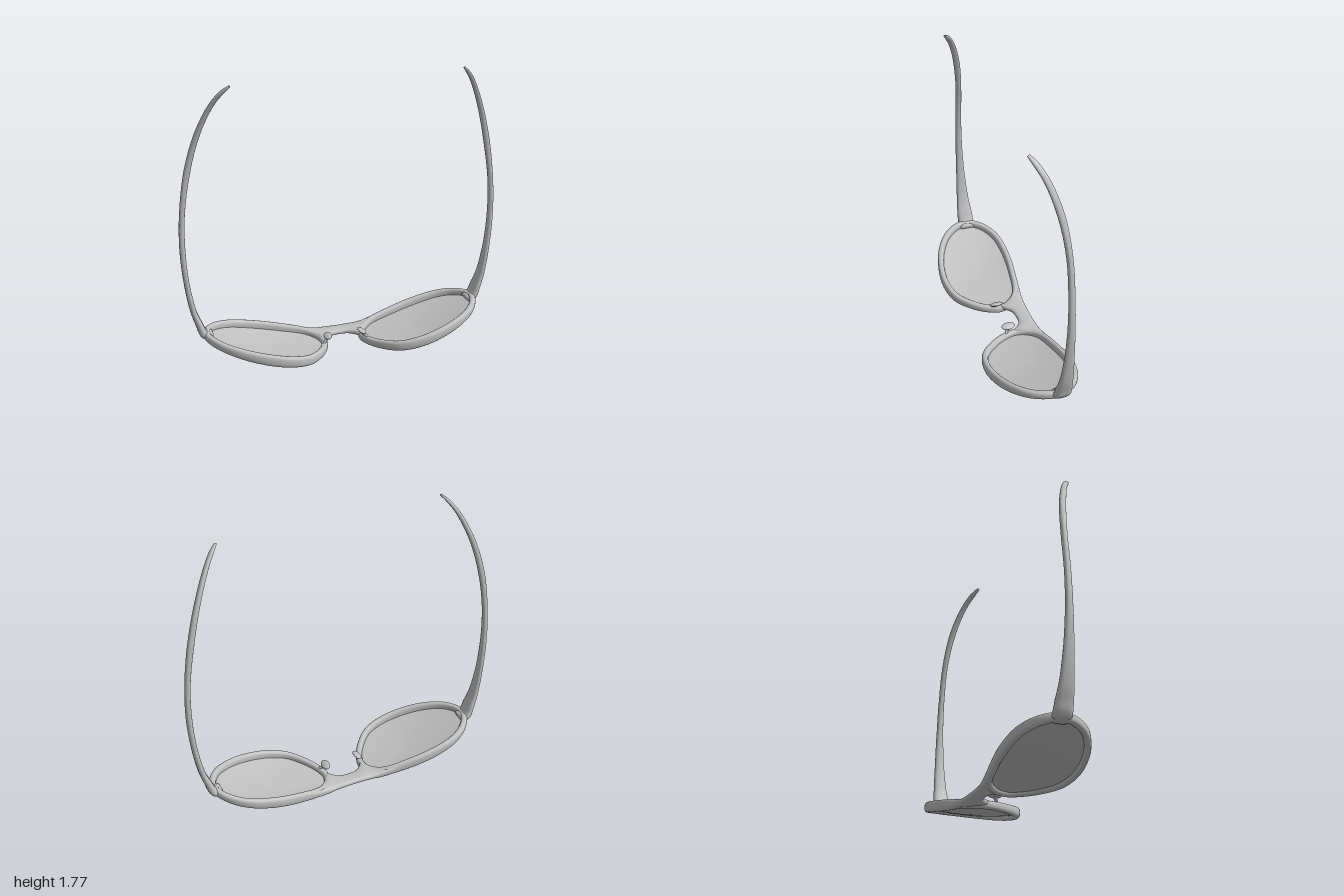
import * as THREE from 'three';

const grey = new THREE.MeshStandardMaterial({ color: 0xc0c0c0 });
grey.name = 'grey';
const greyThin = grey.clone();
greyThin.side = THREE.DoubleSide;
greyThin.name = 'grey lens';

const V = (x, y, z) => new THREE.Vector3(x, y, z);

// Rounded-box cross-section around c, spanned by half-axes u and v
function ring(c, u, v, n = 20, p = 0.75) {
  const soft = (k) => Math.sign(k) * Math.pow(Math.abs(k), p);
  return Array.from({ length: n }, (_, j) => {
    const a = (j / n) * Math.PI * 2;
    return c.clone().addScaledVector(u, soft(Math.cos(a))).addScaledVector(v, soft(Math.sin(a)));
  });
}

// Skin a list of rings, either as a closed loop or with capped ends
function loft(rings, closed = false, caps = !closed) {
  const n = rings[0].length, m = rings.length;
  const points = rings.flat(), index = [];
  for (let i = 0; i < (closed ? m : m - 1); i++) {
    for (let j = 0; j < n; j++) {
      const a = i * n + j, b = i * n + (j + 1) % n;
      const c = ((i + 1) % m) * n + j, d = ((i + 1) % m) * n + (j + 1) % n;
      index.push(a, b, c, b, d, c);
    }
  }
  if (caps) {
    for (const i of [0, m - 1]) {
      const mid = V(0, 0, 0);
      rings[i].forEach((q) => mid.addScaledVector(q, 1 / n));
      const k = points.push(mid) - 1;
      for (let j = 0; j < n; j++) {
        const a = i * n + j, b = i * n + (j + 1) % n;
        index.push(...(i ? [a, b, k] : [b, a, k]));
      }
    }
  }
  const g = new THREE.BufferGeometry().setFromPoints(points);
  g.setIndex(index);
  g.computeVertexNormals();
  return g;
}

function mirrored(geo) {
  const g = geo.clone().scale(-1, 1, 1);
  const ix = g.index.array;
  for (let i = 0; i < ix.length; i += 3) [ix[i + 1], ix[i + 2]] = [ix[i + 2], ix[i + 1]];
  g.computeVertexNormals();
  return g;
}

// Height of the swept-back front at a given x
const along = (x) => THREE.MathUtils.clamp((x - 0.13) / 0.74, 0, 1);
const rimY = (x) => 0.03 + 0.235 * (x - 0.15) - 0.01 * Math.sin(Math.PI * along(x));

// Centre line of one rim as [x, z]
const outline = [
  [0.127, -0.05], [0.15, -0.125], [0.22, -0.19], [0.38, -0.226], [0.55, -0.24], [0.7, -0.223],
  [0.8, -0.17], [0.86, -0.09], [0.865, -0.01], [0.8, 0.1], [0.67, 0.185], [0.52, 0.227],
  [0.4, 0.23], [0.29, 0.197], [0.2, 0.11], [0.15, 0.03],
];
const rimCurve = new THREE.CatmullRomCurve3(outline.map(([x, z]) => V(x, rimY(x), z)), true, 'centripetal');
const rimPoints = rimCurve.getPoints(80).slice(0, 80);

function rimGeometry() {
  const up = V(0, 1, 0);
  return loft(rimPoints.map((c, i) => {
    const t = rimCurve.getTangent(i / 80).setY(0).normalize();
    const half = 0.025 + 0.011 * Math.sin(Math.PI * along(c.x));
    return ring(c, up.clone().cross(t).multiplyScalar(0.02), up.clone().multiplyScalar(half), 16);
  }), true);
}

// Shallow dished lens made from shrinking copies of the rim line
function lensGeometry() {
  const cx = 0.5, cz = -0.005;
  const rings = [1, 0.85, 0.65, 0.4, 0.15].map((k) => rimPoints.map((p) => {
    const x = cx + (p.x - cx) * k;
    const flat = p.y * k + rimY(cx) * (1 - k);
    return V(x, flat - 0.006 - 0.024 * (1 - k * k), cz + (p.z - cz) * k);
  }));
  const g = loft(rings, false, false);
  const n = rimPoints.length, last = (rings.length - 1) * n;
  const ix = Array.from(g.index.array);
  for (let j = 1; j < n - 1; j++) ix.push(last, last + j, last + j + 1);
  g.setIndex(ix);
  g.computeVertexNormals();
  return g;
}

// Bridge: half stations as [x, back z, front z], blending into both rims
function bridgeGeometry() {
  const half = [
    [0, -0.208, -0.115], [0.04, -0.208, -0.114], [0.07, -0.209, -0.103], [0.1, -0.211, -0.075],
    [0.12, -0.212, -0.045], [0.14, -0.214, -0.07], [0.17, -0.217, -0.135], [0.22, -0.224, -0.18],
    [0.3, -0.235, -0.212], [0.36, -0.236, -0.22],
  ];
  const all = [...half.slice(1).reverse().map(([x, a, b]) => [-x, a, b]), ...half];
  return loft(all.map(([x, a, b]) => {
    const y = Math.max(0.036, rimY(Math.abs(x)));
    const h = 0.018 + 0.006 * Math.min(1, Math.abs(x) / 0.15);
    return ring(V(x, y, (a + b) / 2), V(0, h, 0), V(0, 0, (b - a) / 2));
  }));
}

// Temple: stations as [x, y, z, half thickness, half width]
function templeGeometry() {
  const st = [
    [0.835, 0.188, -0.062, 0.02, 0.05], [0.882, 0.205, -0.064, 0.026, 0.055],
    [0.908, 0.27, -0.063, 0.022, 0.052], [0.938, 0.36, -0.062, 0.018, 0.042],
    [0.97, 0.56, -0.06, 0.016, 0.029], [0.982, 0.78, -0.058, 0.017, 0.021],
    [0.971, 1.0, -0.056, 0.016, 0.018], [0.93, 1.25, -0.05, 0.019, 0.017],
    [0.866, 1.475, -0.022, 0.016, 0.02], [0.79, 1.645, 0.027, 0.013, 0.018],
    [0.735, 1.725, 0.068, 0.011, 0.016], [0.696, 1.764, 0.097, 0.006, 0.009],
  ];
  const curve = new THREE.CatmullRomCurve3(st.map(([x, y, z]) => V(x, y, z)), false, 'centripetal');
  const steps = (st.length - 1) * 4;
  const rings = [];
  for (let i = 0; i <= steps; i++) {
    const a = st[Math.floor(i / 4)], b = st[Math.min(Math.floor(i / 4) + 1, st.length - 1)], f = (i % 4) / 4;
    const t = curve.getTangent(i / steps);
    const v = V(0, 0, 1).addScaledVector(t, -t.z).normalize();
    const u = v.clone().cross(t);
    u.multiplyScalar(THREE.MathUtils.lerp(a[3], b[3], f));
    v.multiplyScalar(THREE.MathUtils.lerp(a[4], b[4], f));
    rings.push(ring(curve.getPoint(i / steps), u, v, 16));
  }
  return loft(rings);
}

function padGeometry() {
  return new THREE.SphereGeometry(1, 20, 12).scale(0.026, 0.011, 0.045)
    .rotateZ(-0.35).translate(0.112, 0.083, -0.017);
}

function padArmGeometry() {
  const path = new THREE.CatmullRomCurve3([
    V(0.15, 0.04, 0.01), V(0.132, 0.058, 0.0), V(0.118, 0.068, -0.012), V(0.112, 0.082, -0.017),
  ]);
  return new THREE.TubeGeometry(path, 12, 0.009, 8);
}

export function createModel() {
  const model = new THREE.Group();
  model.name = 'glasses';
  const add = (name, geo, mat = grey) => {
    const mesh = new THREE.Mesh(geo, mat);
    mesh.name = name;
    model.add(mesh);
  };
  add('bridge', bridgeGeometry());

  // Paired parts, built on the left and mirrored to the right
  const pairs = [
    ['Rim', rimGeometry(), grey], ['Lens', lensGeometry(), greyThin], ['Temple', templeGeometry(), grey],
    ['NosePad', padGeometry(), grey], ['NosePadArm', padArmGeometry(), grey],
  ];
  for (const [name, geo, mat] of pairs) {
    add('left' + name, geo, mat);
    add('right' + name, mirrored(geo), mat);
  }
  return model;
}
